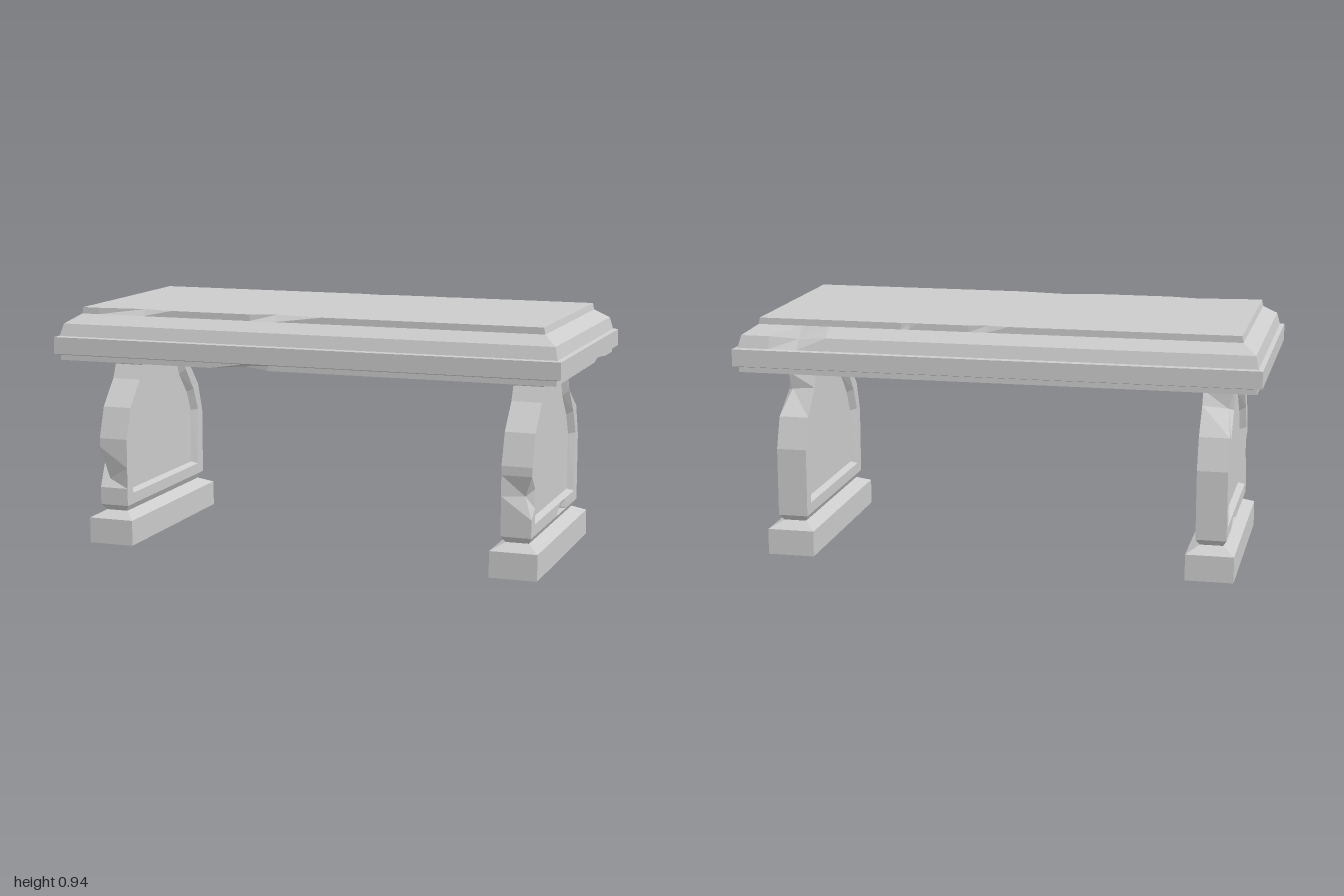
import * as THREE from 'three';

const stone = new THREE.MeshStandardMaterial({ color: 0xcccccc, flatShading: true });

// Closed faceted solid through rings of [u, v, w]; rings run counter-clockwise in u, v.
function loft(name, rings, toXYZ) {
  const pos = [];
  const tri = (...corners) => corners.forEach((p) => pos.push(...toXYZ(p)));
  for (let r = 0; r < rings.length - 1; r++) {
    const a = rings[r], b = rings[r + 1];
    a.forEach((p, i) => {
      const j = (i + 1) % a.length;
      tri(p, a[j], b[j]);
      tri(p, b[j], b[i]);
    });
  }
  const cap = (ring, flip) => {
    const contour = ring.map(([u, v]) => new THREE.Vector2(u, v));
    for (const [a, b, c] of THREE.ShapeUtils.triangulateShape(contour, [])) {
      if (flip) tri(ring[a], ring[c], ring[b]);
      else tri(ring[a], ring[b], ring[c]);
    }
  };
  cap(rings[0], true);
  cap(rings[rings.length - 1], false);
  const geo = new THREE.BufferGeometry();
  geo.setAttribute('position', new THREE.Float32BufferAttribute(pos, 3));
  geo.computeVertexNormals();
  const mesh = new THREE.Mesh(geo, stone);
  mesh.name = name;
  return mesh;
}

// Pushes one ring point to make a chipped edge.
function chip(rings, ring, index, du, dv, dw) {
  const p = rings[ring][index];
  p[0] += du;
  p[1] += dv;
  p[2] += dw;
}

const upright = ([z, x, y]) => [x, y, z]; // rings stacked along y
const sideways = ([y, z, x]) => [x, y, z]; // rings stacked along x

// Moulded seat slab: rectangles with extra stations where edges are chipped
function makeSeat() {
  const profile = [ // y, half width, half depth
    [0.735, 0.98, 0.47], [0.755, 0.98, 0.47], [0.76, 1, 0.488], [0.825, 1, 0.488],
    [0.828, 0.983, 0.47], [0.875, 0.972, 0.455], [0.91, 0.92, 0.4], [0.935, 0.915, 0.4],
  ];
  const front = [-0.85, -0.66, -0.54, -0.35, -0.22, -0.12, 0.07];
  const end = [-0.15, -0.23, -0.35];
  const back = [0.86, 0.75, 0.64, 0.36, 0.33, 0.3, 0.1, 0.03, -0.05];
  const rings = profile.map(([y, hx, hz]) => [
    [hz, -hx, y], ...front.map((x) => [hz, x, y]),
    [hz, hx, y], ...end.map((z) => [z, hx, y]),
    [-hz, hx, y], ...back.map((x) => [-hz, x, y]),
    [-hz, -hx, y],
  ]);
  chip(rings, 7, 2, -0.022, 0, 0); // front top edge
  chip(rings, 7, 6, -0.027, 0, 0);
  chip(rings, 0, 5, -0.02, 0, 0.01); // front underside
  chip(rings, 0, 10, 0, -0.02, 0.008); // end underside
  chip(rings, 5, 14, 0.02, 0, -0.01); // back moulding
  chip(rings, 7, 17, 0.008, 0, 0); // back top edge
  chip(rings, 7, 20, 0.012, 0, 0);
  return loft('seat', rings, upright);
}

// Both sides of a [z, y] half outline, with stations added on the front and bottom edges
function legOutline(half, x) {
  const mix = (a, b, t) => a.map((v, i) => v + (b[i] - v) * t);
  const left = half.map(([z, y]) => [y, -z, x]);
  const right = half.map(([z, y]) => [y, z, x]).reverse();
  const corner = right.pop();
  const shoulder = right[right.length - 1];
  return [
    ...left, ...right,
    ...[0.13, 0.43, 0.74].map((t) => mix(shoulder, corner, t)),
    corner,
    ...[0.53, 0.65, 0.77].map((t) => mix(corner, left[0], t)),
  ];
}

// Vase-shaped leg with a sunken bevelled panel on both faces
function makeLegBody(side) {
  const h = 0.058, sunk = h - 0.025;
  const edge = [[0.367, 0.15], [0.367, 0.415], [0.327, 0.535], [0.238, 0.635], [0.213, 0.69], [0.23, 0.738]];
  const rim = [[0.316, 0.193], [0.322, 0.428], [0.28, 0.52], [0.202, 0.615], [0.17, 0.695], [0.18, 0.738]];
  const panel = [[0.3, 0.203], [0.303, 0.423], [0.264, 0.508], [0.19, 0.593], [0.147, 0.694], [0.155, 0.738]];
  const rings = [[panel, -sunk], [rim, -h], [edge, -h], [edge, h], [rim, h], [panel, sunk]]
    .map(([half, x]) => legOutline(half, x));
  const outer = side > 0 ? 3 : 2;
  const drop = side > 0 ? 0 : -0.05;
  chip(rings, outer, 12, drop, -0.024, -0.03 * side); // front corner
  chip(rings, outer, 3, -0.012, 0.02, -0.02 * side); // back shoulder
  chip(rings, outer, 16, 0.02, 0, -0.01 * side); // bottom edge
  return loft('legBody', rings, sideways);
}

// Block foot with a pinched neck under the leg
function makeFoot() {
  const profile = [[0, 0.0915, 0.402], [0.1, 0.0915, 0.4], [0.125, 0.044, 0.342], [0.15, 0.058, 0.367]];
  const rings = profile.map(([y, hx, hz]) => [[hz, -hx, y], [hz, hx, y], [-hz, hx, y], [-hz, -hx, y]]);
  return loft('foot', rings, upright);
}

export function createModel() {
  const bench = new THREE.Group();
  bench.name = 'stoneBench';
  bench.add(makeSeat());
  for (const side of [-1, 1]) {
    const leg = new THREE.Group();
    leg.name = side > 0 ? 'leftLeg' : 'rightLeg';
    leg.add(makeLegBody(side), makeFoot());
    leg.position.x = side * 0.815;
    bench.add(leg);
  }
  return bench;
}
